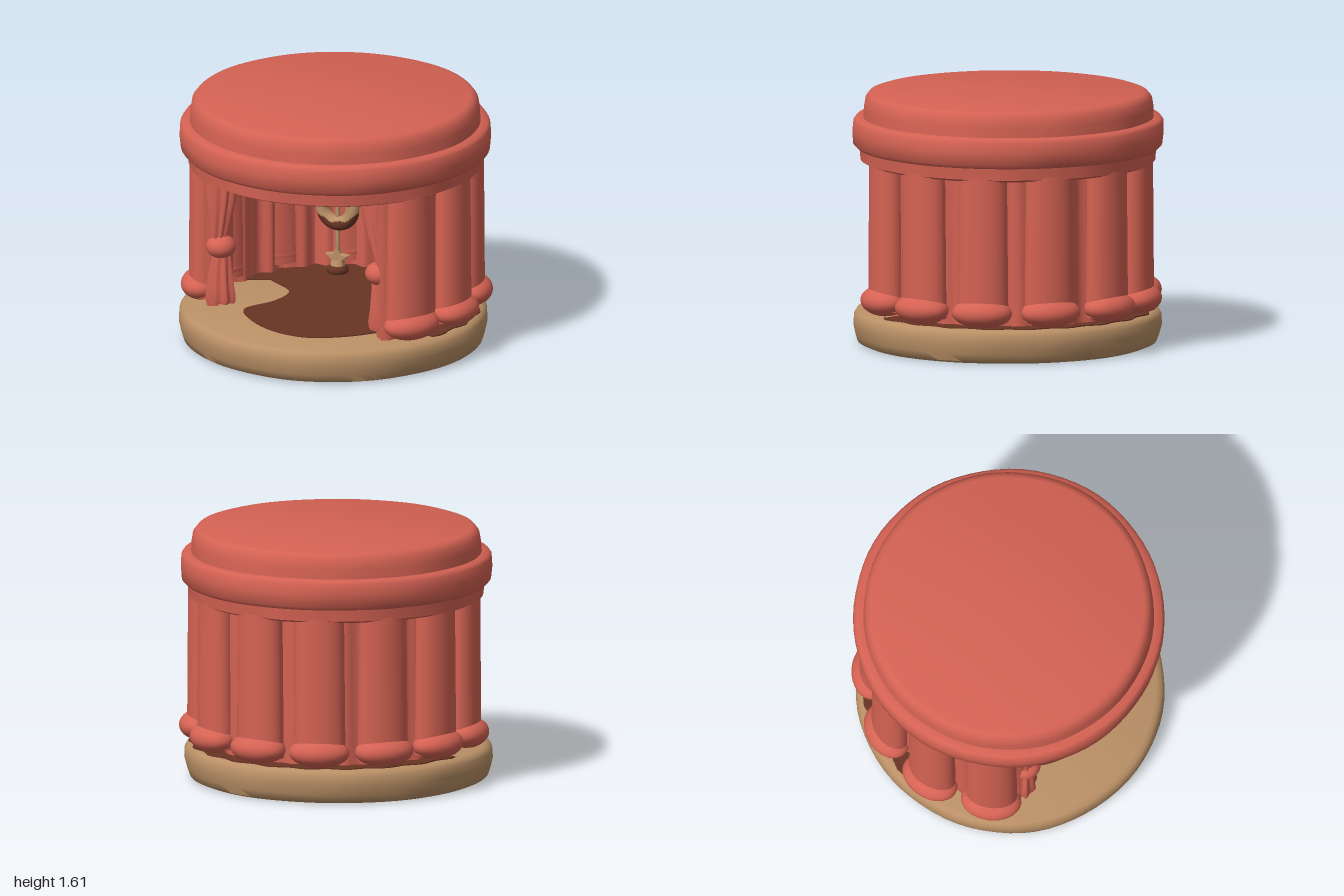
import * as THREE from 'three';
import { toCreasedNormals } from 'three/addons/utils/BufferGeometryUtils.js';

const red = new THREE.MeshStandardMaterial({ color: 0xd46253, side: THREE.DoubleSide });
red.name = 'curtainRed';
const tan = new THREE.MeshStandardMaterial({ color: 0xba9066 });
tan.name = 'biscuitTan';
const brown = new THREE.MeshStandardMaterial({ color: 0x673424 });
brown.name = 'chocolateBrown';

const rad = THREE.MathUtils.degToRad;

function add(parent, name, geometry, material, x = 0, y = 0, z = 0) {
  const mesh = new THREE.Mesh(geometry, material);
  mesh.name = name;
  mesh.position.set(x, y, z);
  parent.add(mesh);
  return mesh;
}

// Hand-modelled clay look: gentle radial unevenness
function wobble(geometry, amount) {
  const p = geometry.attributes.position;
  for (let i = 0; i < p.count; i++) {
    const x = p.getX(i), y = p.getY(i), z = p.getZ(i);
    const a = Math.atan2(x, z);
    const k = 1 + amount * (Math.sin(5 * a + 9 * y) + 0.6 * Math.sin(11 * a - 14 * y));
    p.setX(i, x * k);
    p.setZ(i, z * k);
  }
  return geometry;
}

function turned(points, amount) {
  const profile = points.map(([r, y]) => new THREE.Vector2(r, y));
  return toCreasedNormals(wobble(new THREE.LatheGeometry(profile, 72), amount), rad(50));
}

// Pleated cloth lofted through rings [y, centreX, centreZ, halfWidth, halfDepth]
function cloth(rings, pleats) {
  const n = 48, pos = [], index = [];
  rings.forEach(([y, cx, cz, w, d], j) => {
    for (let i = 0; i < n; i++) {
      const a = (i / n) * Math.PI * 2;
      const k = 1 + 0.12 * Math.cos(pleats * a);
      pos.push(cx + w * k * Math.sin(a), y, cz + d * k * Math.cos(a));
      if (j === rings.length - 1) continue;
      const p = j * n + i, q = j * n + (i + 1) % n;
      index.push(p, p + n, q, q, p + n, q + n);
    }
  });
  const last = (rings.length - 1) * n;
  for (let i = 1; i < n - 1; i++) {
    index.push(0, i, i + 1, last, last + i + 1, last + i);
  }
  const g = new THREE.BufferGeometry();
  g.setAttribute('position', new THREE.Float32BufferAttribute(pos, 3));
  g.setIndex(index);
  return toCreasedNormals(g, rad(60));
}

// Curved curtain wall with folds, open at the front
function wallGeometry() {
  const start = rad(47), end = rad(301), n = 150, pts = [];
  const put = (a, r) => pts.push(new THREE.Vector2(r * Math.sin(a), -r * Math.cos(a)));
  for (let i = 0; i <= n; i++) put(start + (end - start) * i / n, 0.81 + 0.012 * Math.sin(i * 0.9));
  for (let i = n; i >= 0; i--) {
    const a = start + (end - start) * i / n;
    put(a, 0.74 + 0.02 * Math.sin(22 * a) + 0.012 * Math.sin(37 * a));
  }
  const g = new THREE.ExtrudeGeometry(new THREE.Shape(pts), { depth: 0.97, bevelEnabled: false });
  g.rotateX(-Math.PI / 2);
  return toCreasedNormals(g, rad(50));
}

// Chocolate puddle: rear half of the floor plus an irregular front edge
function puddleGeometry() {
  const front = [[-0.57, -0.22], [-0.36, -0.06], [-0.36, 0.15], [-0.46, 0.38], [-0.33, 0.55],
    [-0.1, 0.69], [0.14, 0.71], [0.36, 0.58], [0.52, 0.4], [0.6, 0.3]];
  const edge = new THREE.CatmullRomCurve3(front.map(([x, z]) => new THREE.Vector3(x, -z, 0)));
  const pts = edge.getPoints(60).map(v => new THREE.Vector2(v.x, v.y));
  for (let i = 0; i <= 60; i++) {
    const a = rad(68 + i * 3.3), r = 0.915 + 0.015 * Math.sin(i * 1.3);
    pts.push(new THREE.Vector2(r * Math.sin(a), -r * Math.cos(a)));
  }
  const g = new THREE.ExtrudeGeometry(new THREE.Shape(pts), { depth: 0.007, bevelEnabled: false });
  return g.rotateX(-Math.PI / 2);
}

// Ring whose lower part is dipped in chocolate
function dippedRing() {
  const g = new THREE.TorusGeometry(0.103, 0.046, 24, 72);
  const p = g.attributes.position, idx = g.index.array, plain = [], dipped = [];
  for (let i = 0; i < idx.length; i += 3) {
    const f = [idx[i], idx[i + 1], idx[i + 2]];
    const x = f.reduce((s, v) => s + p.getX(v), 0) / 3;
    const y = f.reduce((s, v) => s + p.getY(v), 0) / 3;
    const line = -0.082 + 2.8 * x * x + 0.006 * Math.sin(60 * x);
    (y < line ? dipped : plain).push(...f);
  }
  g.setIndex([...plain, ...dipped]);
  g.addGroup(0, plain.length, 0);
  g.addGroup(plain.length, dipped.length, 1);
  return g;
}

function starGeometry() {
  const pts = [];
  for (let i = 0; i < 10; i++) {
    const a = i * Math.PI / 5, r = i % 2 ? 0.036 : 0.078;
    pts.push(new THREE.Vector2(r * Math.sin(a), r * Math.cos(a)));
  }
  return new THREE.ExtrudeGeometry(new THREE.Shape(pts), {
    depth: 0.03, bevelThickness: 0.008, bevelSize: 0.004, bevelSegments: 2 }).translate(0, 0, -0.015);
}

export function createModel() {
  const model = new THREE.Group();
  model.name = 'puppetStage';

  // Base and floor
  add(model, 'base', turned([[0, 0], [0.91, 0], [0.945, 0.015], [0.96, 0.06], [0.975, 0.12],
    [0.972, 0.18], [0.955, 0.208], [0.925, 0.219], [0, 0.22]], 0.003), tan, -0.01, 0, 0.02);
  add(model, 'floorPuddle', puddleGeometry(), brown, 0, 0.22, 0);

  // Tiered roof
  add(model, 'roof', turned([[0, 1.16], [0.9, 1.16], [0.932, 1.175], [0.938, 1.25], [0.955, 1.252],
    [0.977, 1.275], [0.984, 1.35], [0.98, 1.42], [0.965, 1.44], [0.918, 1.445], [0.914, 1.51],
    [0.905, 1.565], [0.88, 1.597], [0.855, 1.605], [0, 1.605]], 0.0025), red, -0.003, 0, 0.005);

  // Curtain wall and its rounded outer columns
  add(model, 'curtainWall', wallGeometry(), red, 0, 0.22, 0);
  [60, 88, 116.5, 146, 176, 204, 232, 260, 288].forEach((deg, i) => {
    const column = new THREE.Group();
    column.name = 'column' + (i + 1);
    column.rotation.y = rad(deg);
    const shaft = new THREE.CylinderGeometry(0.98, 1.04, 0.93, 32, 6, true);
    add(column, 'shaft', shaft, red, 0, 0.725, 0.83).scale.set(0.158, 1, 0.105);
    const foot = new THREE.SphereGeometry(1, 32, 20);
    add(column, 'foot', foot, red, 0, 0.315, 0.855).scale.set(0.192, 0.095, 0.135);
    model.add(column);
  });

  // Tied-back drapes at each side of the opening
  const drapes = [
    { name: 'leftDrape', knot: 0.53, top: 0.525, half: 0.13, out: 0.04, z: 0.44 },
    { name: 'rightDrape', knot: -0.61, top: -0.615, half: 0.11, out: -0.02, z: 0.4 },
  ];
  for (const { name, knot, top, half, out, z } of drapes) {
    const drape = new THREE.Group();
    drape.name = name;
    const at = (y, t, w) => [y, THREE.MathUtils.lerp(knot + out, top, t), z, w, 0.055 + 0.02 * t];
    add(drape, 'upperCloth', cloth([at(1.18, 1, half), at(1.05, 0.95, half * 0.95),
      at(0.93, 0.8, half * 0.83), at(0.82, 0.5, half * 0.66), at(0.72, 0.2, half * 0.5),
      at(0.64, 0, half * 0.4)], 9), red);
    add(drape, 'knot', new THREE.SphereGeometry(1, 28, 18), red, knot, 0.63, z + 0.01)
      .scale.set(0.095, 0.075, 0.095);
    add(drape, 'lowerCloth', cloth([[0.6, knot, z, 0.055, 0.05], [0.5, knot + out * 0.3, z, 0.07, 0.06],
      [0.38, knot + out * 0.5, z, 0.085, 0.068], [0.29, knot + out * 0.5, z, 0.098, 0.075],
      [0.26, knot + out * 0.5, z, 0.09, 0.068]], 8), red);
    model.add(drape);
  }

  // Hanging ornament: cord, dipped ring, star and weight
  const ornament = new THREE.Group();
  ornament.name = 'hangingOrnament';
  ornament.position.x = 0.01;
  add(ornament, 'cord', new THREE.CylinderGeometry(0.014, 0.014, 0.68, 12), tan, 0, 0.84, 0);
  add(ornament, 'ring', dippedRing(), [tan, brown], 0, 0.855, 0);
  add(ornament, 'star', starGeometry(), tan, 0, 0.52, 0);
  add(ornament, 'weightTop', new THREE.CylinderGeometry(0.036, 0.05, 0.04, 24), tan, 0, 0.485, 0);
  add(ornament, 'weight', turned([[0, 0.425], [0.058, 0.425], [0.068, 0.435], [0.066, 0.46],
    [0.05, 0.475], [0, 0.475]], 0), brown);
  model.add(ornament);

  return model;
}
